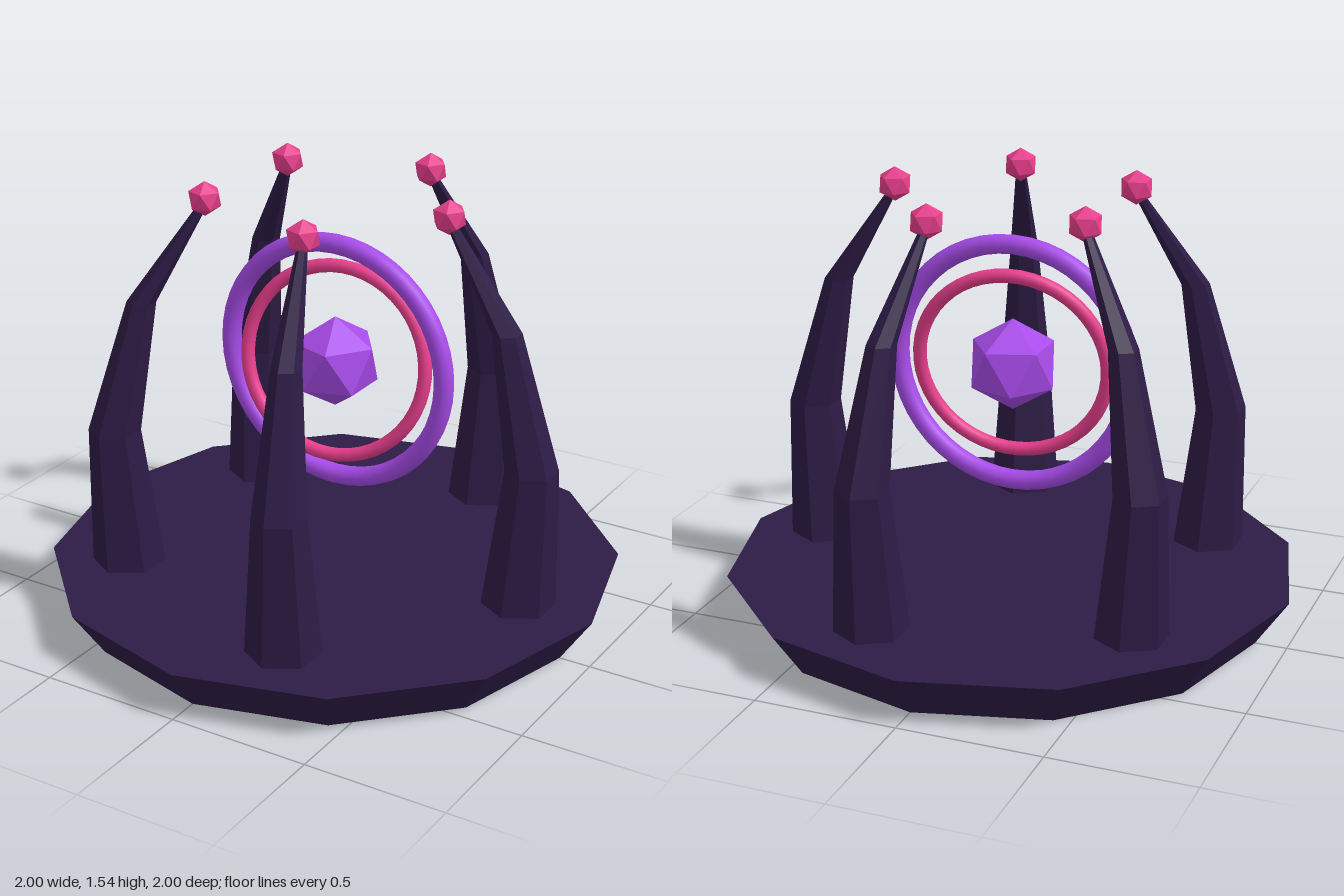
import * as THREE from 'three';

const stone = new THREE.MeshStandardMaterial({ color: 0x2d1b45, flatShading: true });
const crystalMat = new THREE.MeshStandardMaterial({ color: 0xa84bea, flatShading: true });
const gemMat = new THREE.MeshStandardMaterial({ color: 0xe83e8c, flatShading: true });
const outerRingMat = new THREE.MeshStandardMaterial({ color: 0xa84bea });
const innerRingMat = new THREE.MeshStandardMaterial({ color: 0xe83e8c });

const BASE_TOP = 0.165;
const CENTRE_Y = 0.893;

function add(parent, name, geometry, material, x = 0, y = 0, z = 0) {
  const mesh = new THREE.Mesh(geometry, material);
  mesh.name = name;
  mesh.position.set(x, y, z);
  parent.add(mesh);
  return mesh;
}

// Icosahedron standing on one of its corners
function gemGeometry(radius) {
  return new THREE.IcosahedronGeometry(radius, 0).rotateZ(-Math.atan(2) / 2);
}

// Rings of a claw: distance from the centre axis, height, radius
const CLAW_RINGS = [
  [0.725, BASE_TOP - 0.005, 0.127],
  [0.757, 0.665, 0.09],
  [0.65, 1.13, 0.05],
  [0.43, 1.475, 0.016],
];

// Hexagonal claw that curves inward in the direction of the given angle
function clawGeometry(angle) {
  const segments = CLAW_RINGS.length - 1;
  const geometry = new THREE.CylinderGeometry(1, 1, segments, 6, segments);
  const p = geometry.attributes.position;
  for (let i = 0; i < p.count; i++) {
    const [distance, height, radius] = CLAW_RINGS[Math.round(p.getY(i) + segments / 2)];
    p.setXYZ(
      i,
      Math.cos(angle) * distance + p.getX(i) * radius,
      height,
      Math.sin(angle) * distance + p.getZ(i) * radius
    );
  }
  geometry.computeVertexNormals();
  return geometry;
}

export function createModel() {
  const model = new THREE.Group();
  model.name = 'crystalAltar';

  // Twelve-sided base, wider at the top
  add(model, 'base', new THREE.CylinderGeometry(1, 0.888, BASE_TOP, 12), stone, 0, BASE_TOP / 2, 0);

  // Five claws, each with a gem on its tip
  for (let i = 0; i < 5; i++) {
    const angle = (i * Math.PI * 2) / 5;
    const claw = new THREE.Group();
    claw.name = 'claw' + (i + 1);
    add(claw, 'clawHorn', clawGeometry(angle), stone);
    add(claw, 'clawGem', gemGeometry(0.06), gemMat, Math.cos(angle) * 0.43, 1.485, Math.sin(angle) * 0.43);
    model.add(claw);
  }

  // Floating crystal with two rings around it
  add(model, 'crystal', gemGeometry(0.163), crystalMat, 0, CENTRE_Y, 0);
  add(model, 'outerRing', new THREE.TorusGeometry(0.423, 0.034, 12, 48), outerRingMat, 0, CENTRE_Y, 0);
  const inner = add(model, 'innerRing', new THREE.TorusGeometry(0.331, 0.024, 12, 48), innerRingMat, 0, CENTRE_Y, 0);
  inner.rotation.set(-0.15, 0.12, 0);

  return model;
}
